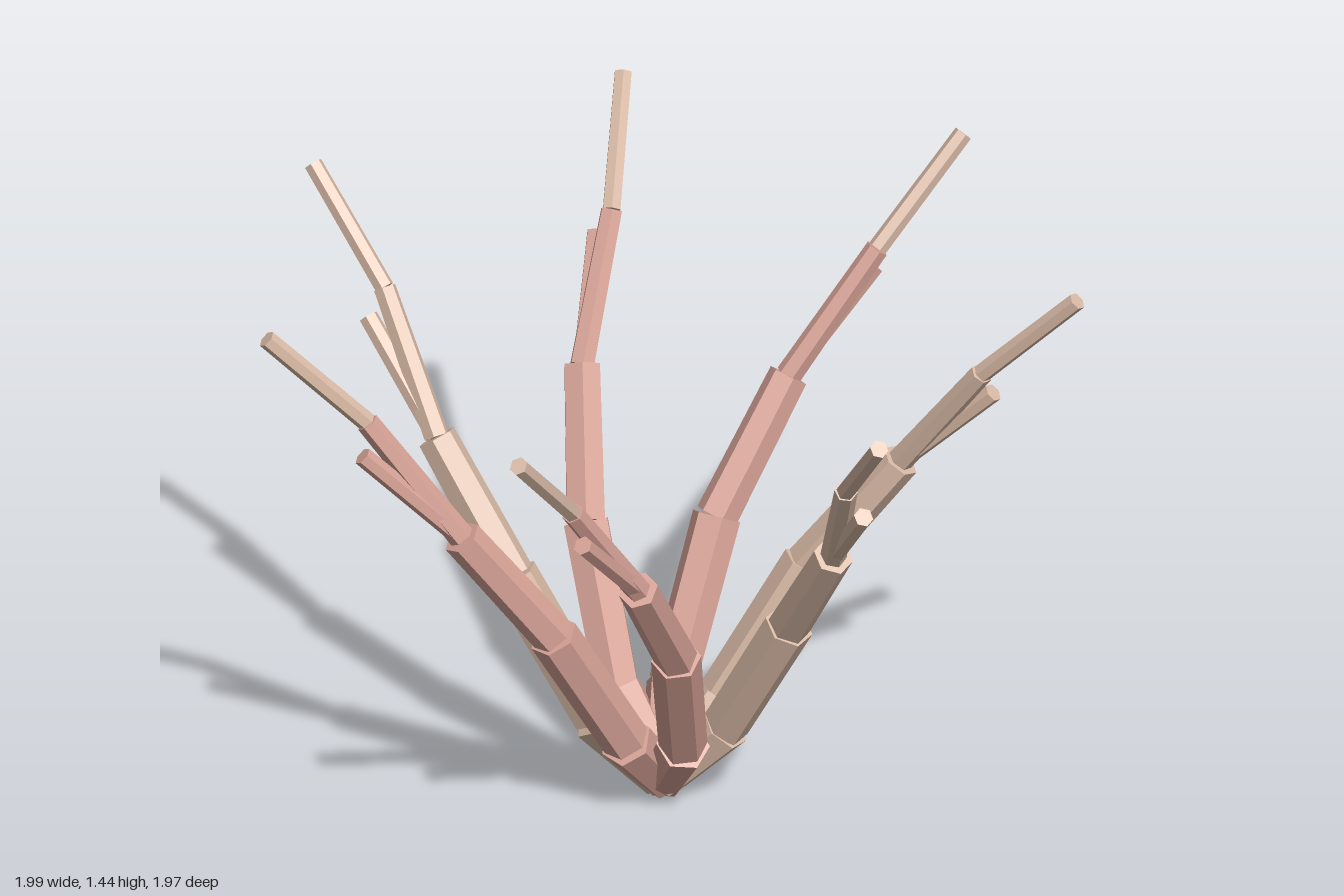
import * as THREE from 'three';

const UP = new THREE.Vector3(0, 1, 0);

// Point given by distance from the axis, heading in degrees and height
function polar(r, deg, y) {
  const a = THREE.MathUtils.degToRad(deg);
  return new THREE.Vector3(r * Math.cos(a), y, r * Math.sin(a));
}

// Six-sided tapered stick between two points
function stick(name, from, to, r0, r1, material) {
  const dir = to.clone().sub(from);
  const mesh = new THREE.Mesh(new THREE.CylinderGeometry(r1, r0, dir.length(), 6), material);
  mesh.position.copy(from).add(to).multiplyScalar(0.5);
  mesh.quaternion.setFromUnitVectors(UP, dir.normalize());
  mesh.name = name;
  return mesh;
}

export function createModel() {
  const pink = new THREE.MeshStandardMaterial({ color: 0xd6a296, flatShading: true });
  pink.name = 'pink bark';
  const beige = new THREE.MeshStandardMaterial({ color: 0xd9baa6, flatShading: true });
  beige.name = 'beige bark';

  // Joints of one arm, curling as it rises
  const joints = [
    new THREE.Vector3(0, 0.035, 0),
    polar(0.16, 48, 0.21),
    polar(0.364, 60.6, 0.565),
    polar(0.575, 71.5, 0.87),
    polar(0.768, 82, 1.175),
    polar(1.005, 85.8, 1.42),
  ];
  const forkEnd = polar(0.795, 79.6, 1.105);
  const radii = [[0.055, 0.066], [0.059, 0.061], [0.053, 0.049], [0.032, 0.028], [0.024, 0.023]];
  const names = ['root', 'lowerStem', 'middleStem', 'upperStem', 'tip'];
  const armColors = [pink, beige, beige, pink, pink, beige, pink];

  const model = new THREE.Group();
  model.name = 'branchingPlant';

  // Seven arms around the centre
  armColors.forEach((color, k) => {
    const arm = new THREE.Group();
    arm.name = 'arm' + (k + 1);
    radii.forEach(([r0, r1], i) => {
      const material = i === 4 ? beige : color;
      arm.add(stick(names[i], joints[i], joints[i + 1], r0, r1, material));
    });
    arm.add(stick('sideTwig', joints[3], forkEnd, 0.025, 0.024, color));
    arm.rotation.y = (k * Math.PI * 2) / armColors.length;
    model.add(arm);
  });

  model.position.set(0.017, 0, -0.037);
  const root = new THREE.Group();
  root.name = 'plant';
  root.add(model);
  return root;
}
